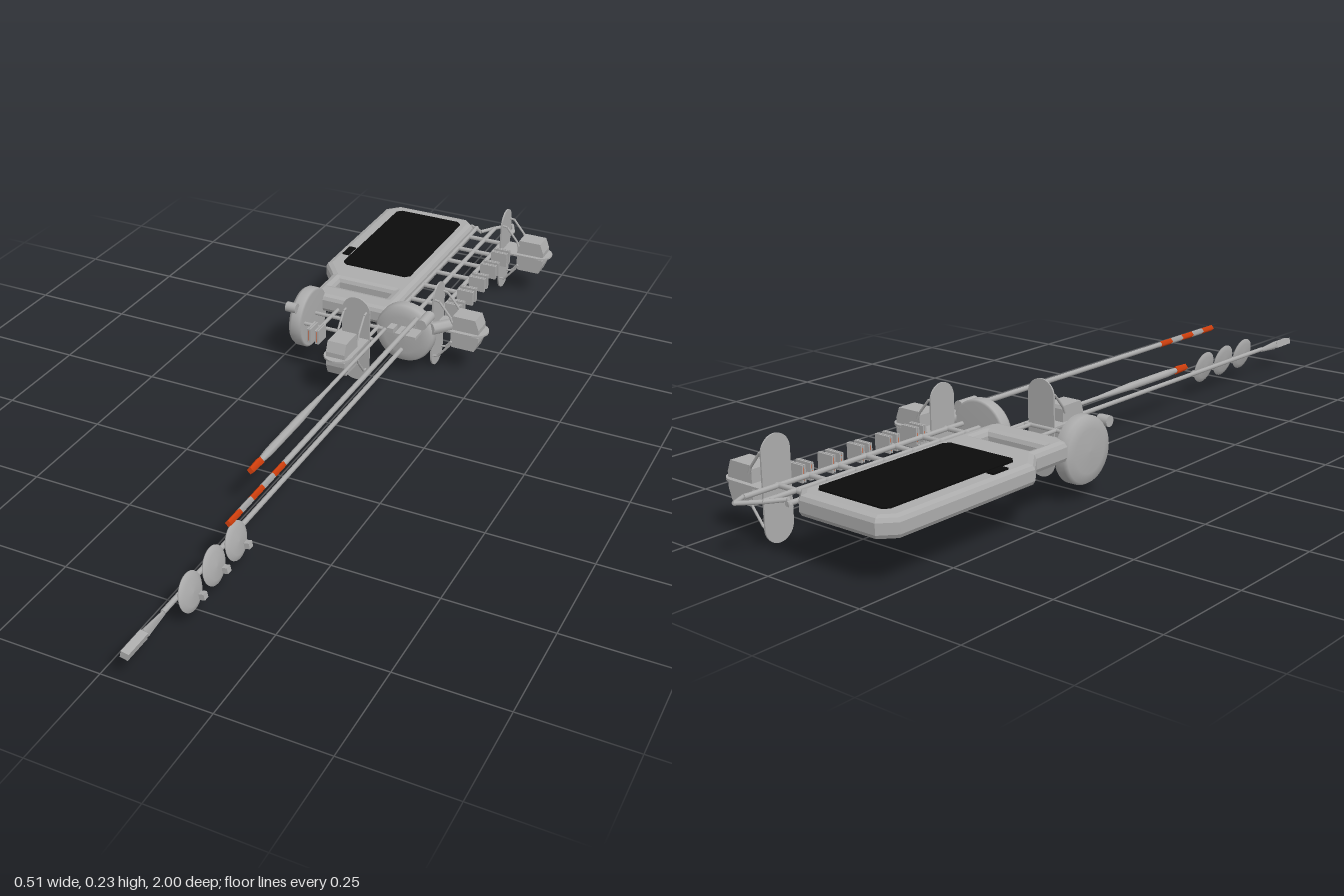
import * as THREE from 'three';

const paint = (name, color, double) => {
  const m = new THREE.MeshStandardMaterial({ color });
  m.name = name;
  if (double) m.side = THREE.DoubleSide;
  return m;
};

export function createModel() {
  const grey = paint('light grey', 0xacacac);
  const black = paint('screen black', 0x0b0b0b);
  const orange = paint('marker orange', 0xd8420e);
  const model = new THREE.Group();
  model.name = 'instrumentPlatform';

  const add = (name, geo, mat = grey, pos = [0, 0, 0], parent = model) => {
    const mesh = new THREE.Mesh(geo, mat);
    mesh.name = name;
    mesh.position.set(...pos);
    parent.add(mesh);
    return mesh;
  };
  // Straight round bar between two points, optionally tapered
  const rod = (name, a, b, r0, r1 = r0, mat = grey, parent = model, sides = 8) => {
    const A = new THREE.Vector3(...a), B = new THREE.Vector3(...b);
    const dir = B.clone().sub(A);
    const mesh = add(name, new THREE.CylinderGeometry(r1, r0, dir.length(), sides), mat, [0, 0, 0], parent);
    mesh.position.copy(A).add(B).multiplyScalar(0.5);
    mesh.quaternion.setFromUnitVectors(new THREE.Vector3(0, 1, 0), dir.normalize());
    return mesh;
  };
  const path = (name, pts, r, parent = model) => {
    for (let i = 1; i < pts.length; i++) rod(name, pts[i - 1], pts[i], r, r, grey, parent);
  };
  const polygon = (pts, Type = THREE.Shape) => new Type(pts.map(p => new THREE.Vector2(...p)));
  // Rectangle with cut corners, in x and -z
  const cutRect = (x0, x1, z0, z1, c, Type) => polygon([
    [x0 + c, -z1], [x1 - c, -z1], [x1, -z1 + c], [x1, -z0 - c],
    [x1 - c, -z0], [x0 + c, -z0], [x0, -z0 - c], [x0, -z1 + c]], Type);
  const pill = (w, h) => {
    const s = new THREE.Shape(), r = w / 2, k = h / 2 - r;
    s.absarc(0, k, r, 0, Math.PI);
    s.absarc(0, -k, r, Math.PI, 2 * Math.PI);
    return s;
  };

  // Tablet-shaped body with a bevelled rim and grip opening
  const outline = polygon([[-0.18, 0.345], [-0.01, 0.345], [-0.006, 0.35], [-0.006, 0.895],
    [-0.025, 0.914], [-0.218, 0.914], [-0.241, 0.89], [-0.241, 0.515], [-0.198, 0.46], [-0.198, 0.36]]);
  outline.holes.push(cutRect(-0.197, -0.014, -0.454, -0.382, 0.006, THREE.Path));
  add('panelBody', new THREE.ExtrudeGeometry(outline, {
    depth: 0.024, bevelThickness: 0.012, bevelSize: 0.016, bevelSegments: 2
  }).rotateX(-Math.PI / 2), grey, [0, 0.117, 0]);
  for (const y of [0.1525, 0.1015])
    add('panelScreen', new THREE.ExtrudeGeometry(cutRect(-0.214, -0.02, -0.89, -0.517, 0.012),
      { depth: 0.004, bevelEnabled: false }).rotateX(-Math.PI / 2), black, [0, y, 0]);
  add('panelSwitch', new THREE.BoxGeometry(0.018, 0.01, 0.045), black, [-0.228, 0.152, -0.592]);

  // Ladder frame beside the panel
  const fy = 0.128;
  for (const [x, end] of [[0.01, -0.935], [0.057, -0.955], [0.108, -0.96]])
    rod('frameRail', [x, fy, -0.3], [x, fy, end], 0.006);
  for (const z of [-0.87, -0.79, -0.71, -0.63, -0.545, -0.46, -0.38])
    rod('frameCrossbar', [-0.004, fy, z], [0.114, fy, z], 0.006);
  path('frameEnd', [[-0.008, fy, -0.94], [0.03, fy, -0.915], [0.057, fy, -0.955],
    [0.094, fy, -0.995], [0.112, fy, -0.955], [0.108, fy, -0.93]], 0.005);

  // Short frame ahead of the panel
  for (const x of [-0.185, -0.135, -0.08, -0.005])
    rod('frontRail', [x, 0.122, -0.35], [x, 0.122, -0.225], 0.005);
  for (const z of [-0.29, -0.228])
    rod('frontCrossbar', [-0.19, 0.122, z], [0.01, 0.122, z], 0.005);

  // Paired clips: flanged plates with an orange insert
  const clip = (x, y, z, turn) => {
    const g = new THREE.Group();
    g.name = 'clip';
    for (const s of [-1, 1]) {
      add('clipPlate', new THREE.BoxGeometry(0.004, 0.038, 0.044), grey, [s * 0.011 - 0.003, 0, 0.022], g);
      add('clipPlate', new THREE.BoxGeometry(0.004, 0.038, 0.044), grey, [s * 0.011 + 0.003, 0, 0.022], g);
      add('clipInsert', new THREE.BoxGeometry(0.005, 0.028, 0.042), orange, [s * 0.011, 0, 0.022], g);
    }
    g.position.set(x, y, z);
    g.rotation.y = turn;
    model.add(g);
  };
  for (const z of [-0.785, -0.703, -0.62, -0.537, -0.455]) clip(0.116, 0.13, z, Math.PI / 2);
  clip(-0.134, 0.117, -0.226, 0);

  // Mounting stations: pill back plate, rounded shelf, chamfered housings and braces
  const station = (x, z, turn) => {
    const g = new THREE.Group();
    g.name = 'station';
    add('backPlate', new THREE.ExtrudeGeometry(pill(0.075, 0.231),
      { depth: 0.004, bevelEnabled: false, curveSegments: 16 }), grey, [0, 0, -0.002], g);
    const shelf = new THREE.Shape();
    shelf.moveTo(-0.036, 0);
    shelf.lineTo(0.036, 0);
    shelf.absarc(0, -0.101, 0.036, 0, -Math.PI, true);
    shelf.lineTo(-0.036, 0);
    add('shelf', new THREE.ExtrudeGeometry(shelf, { depth: 0.005, bevelEnabled: false })
      .rotateX(-Math.PI / 2), grey, [0, 0.001, 0], g);
    for (const s of [-1, 1]) {
      // Profile drawn in distance from the plate and height
      const side = polygon([[0.046, 0.004 * s], [0.12, 0.004 * s], [0.12, 0.018 * s],
        [0.11, 0.044 * s], [0.05, 0.044 * s], [0.046, 0.036 * s]]);
      add('housing', new THREE.ExtrudeGeometry(side, { depth: 0.05, bevelEnabled: false })
        .rotateY(-Math.PI / 2), grey, [0.025, 0, 0], g);
      for (const t of [-0.028, 0.028])
        path('brace', [[t, 0.08 * s, 0], [t, 0.078 * s, 0.014], [t, 0.042 * s, 0.044],
          [t, 0.028 * s, 0.05]], 0.003, g);
    }
    g.position.set(x, 0.118, z);
    g.rotation.y = turn;
    model.add(g);
  };
  station(0.12, -0.865, Math.PI / 2);
  station(0.12, -0.383, Math.PI / 2);
  station(-0.032, -0.22, 0);

  // Shallow drums turned from one profile
  const drum = new THREE.LatheGeometry([[0, -0.02], [0.072, -0.02], [0.0775, -0.017], [0.0775, 0.006],
    [0.072, 0.015], [0.05, 0.019], [0, 0.021]].map(p => new THREE.Vector2(...p)), 40);
  add('frontDrum', drum, grey, [0.062, 0.114, -0.312]).rotation.x = Math.PI / 2;
  add('sideDrum', drum, grey, [-0.199, 0.114, -0.28]).rotation.z = Math.PI / 2;
  add('sideDrumKnob', new THREE.CylinderGeometry(0.013, 0.013, 0.028, 16), grey, [-0.208, 0.167, -0.215])
    .rotation.z = Math.PI / 2;
  rod('drumLug', [0.119, 0.165, -0.33], [0.119, 0.165, -0.275], 0.014, 0.014, grey, model, 16);
  rod('drumArm', [0.13, 0.14, -0.31], [0.16, 0.13, -0.37], 0.016);
  add('drumBlock', new THREE.BoxGeometry(0.018, 0.012, 0.03), grey, [0.04, 0.136, -0.28]);
  add('drumHandle', new THREE.BoxGeometry(0.056, 0.008, 0.05), grey, [0.087, 0.137, -0.275]);

  // Upper probe with a banded tip
  rod('upperProbe', [0.098, 0.166, -0.31], [0.098, 0.166, 0.42], 0.0065);
  for (let i = 0; i < 5; i++)
    rod('upperProbeBand', [0.098, 0.166, 0.42 + i * 0.048], [0.098, 0.166, 0.468 + i * 0.048],
      0.008, 0.008, i % 2 ? grey : orange, model, 4);

  // Middle probe, swelling before its orange tip
  [[-0.3, 0.005], [0.05, 0.005], [0.18, 0.01], [0.33, 0.01], [0.37, 0.007]].forEach(([z, r], i, a) => {
    if (i) rod('middleProbe', [0.014, 0.12, a[i - 1][0]], [0.014, 0.12, z], a[i - 1][1], r);
  });
  rod('middleProbeTip', [0.014, 0.12, 0.37], [0.014, 0.12, 0.415], 0.011, 0.009, orange, model, 4);

  // Lower probe with a square tip and three tilted lenses
  rod('lowerProbe', [0.06, 0.072, -0.3], [0.06, 0.072, 0.86], 0.006);
  rod('lowerProbeNeck', [0.06, 0.07, 0.86], [0.06, 0.07, 0.93], 0.006, 0.012, grey, model, 4);
  add('lowerProbeTip', new THREE.BoxGeometry(0.018, 0.016, 0.07), grey, [0.06, 0.07, 0.965]).rotation.z = -0.2;
  const lens = new THREE.LatheGeometry([[0, -0.008], [0.03, -0.006], [0.043, -0.001], [0.043, 0.001],
    [0.03, 0.007], [0, 0.009]].map(p => new THREE.Vector2(...p)), 28);
  for (const z of [0.594, 0.687, 0.782]) {
    add('lens', lens, grey, [0.076, 0.073, z]).rotation.z = -Math.PI / 2 + 0.2;
    add('lensStud', new THREE.BoxGeometry(0.016, 0.014, 0.014), grey, [0.092, 0.055, z - 0.02]).rotation.z = 0.2;
  }
  return model;
}
